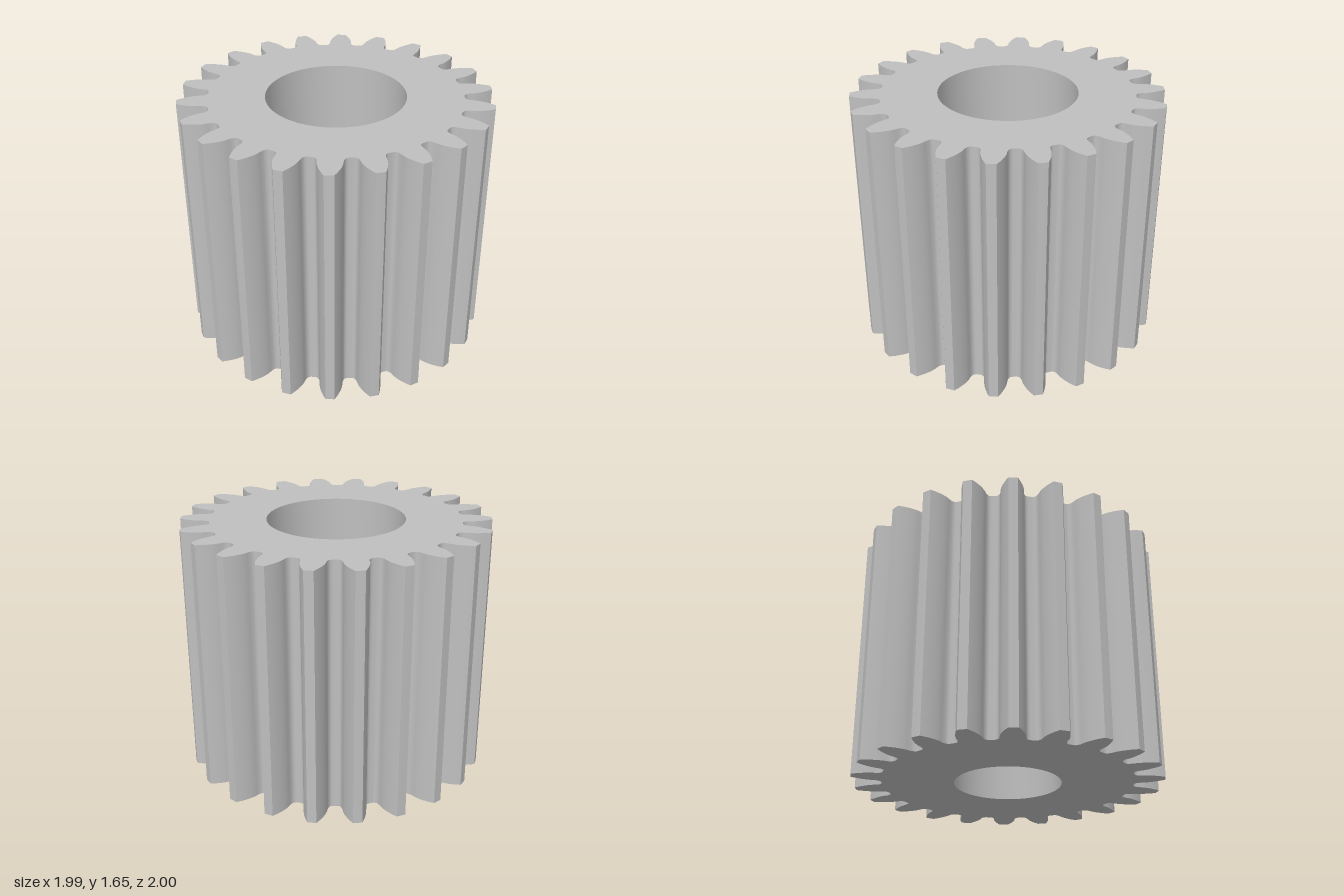
import * as THREE from 'three';
import { toCreasedNormals } from 'three/addons/utils/BufferGeometryUtils.js';

const TEETH = 22, HEIGHT = 1.655;
const TIP = 1, BASE = 0.861, ROOT = 0.81;
const TOP_BORE = 0.4475, SHAFT_BORE = 0.185, BOTTOM_BORE = 0.345;
const WEB_TOP = 1.1, WEB_BOTTOM = 0.55;

// Half of one tooth as [angle from tooth centre, radius], from gap centre to tip
function halfTooth() {
  const inv = a => Math.tan(a) - a;
  const pitchHalf = Math.PI / (2 * TEETH) + inv(Math.PI / 9);
  const points = [];
  // rounded root fillet
  const fillet = new THREE.CubicBezierCurve(
    new THREE.Vector2(Math.PI / TEETH - 0.012, ROOT),
    new THREE.Vector2(pitchHalf + 0.018, ROOT),
    new THREE.Vector2(pitchHalf + 0.004, ROOT + 0.014),
    new THREE.Vector2(pitchHalf, BASE));
  for (const p of fillet.getPoints(10)) points.push([p.x, p.y]);
  // involute flank
  for (let i = 1; i <= 8; i++) {
    const r = BASE + (TIP - BASE) * i / 8;
    points.push([pitchHalf - inv(Math.acos(BASE / r)), r]);
  }
  return points;
}

// Closed counter-clockwise outline, with one tooth centred on +y
function gearOutline() {
  const half = halfTooth();
  const tooth = [
    ...half.map(([a, r]) => [-a, r]),
    [0, TIP],
    ...half.slice().reverse(),
  ];
  const outline = [];
  for (let i = 0; i < TEETH; i++) {
    const centre = Math.PI / 2 + i * 2 * Math.PI / TEETH;
    for (const [a, r] of tooth) {
      outline.push(new THREE.Vector2(r * Math.cos(centre + a), r * Math.sin(centre + a)));
    }
  }
  return outline;
}

// Vertical wall following the outline
function wallGeometry(outline) {
  const pos = [];
  outline.forEach((a, i) => {
    const b = outline[(i + 1) % outline.length];
    pos.push(a.x, 0, -a.y, b.x, 0, -b.y, b.x, HEIGHT, -b.y);
    pos.push(a.x, 0, -a.y, b.x, HEIGHT, -b.y, a.x, HEIGHT, -a.y);
  });
  const geometry = new THREE.BufferGeometry();
  geometry.setAttribute('position', new THREE.Float32BufferAttribute(pos, 3));
  return toCreasedNormals(geometry, Math.PI / 6);
}

// Flat end face with a round opening
function faceGeometry(outline, bore) {
  const shape = new THREE.Shape(outline);
  shape.holes.push(new THREE.Path().absarc(0, 0, bore, 0, Math.PI * 2, true));
  return new THREE.ShapeGeometry(shape, 48);
}

export function createModel() {
  const group = new THREE.Group();
  group.name = 'spurGear';
  const steel = new THREE.MeshStandardMaterial({ color: 0xbfbfbf });
  steel.name = 'steelGrey';
  const add = (name, geometry) => {
    const mesh = new THREE.Mesh(geometry, steel);
    mesh.name = name;
    group.add(mesh);
  };

  const outline = gearOutline();
  add('toothedWall', wallGeometry(outline));
  add('topFace', faceGeometry(outline, TOP_BORE).rotateX(-Math.PI / 2).translate(0, HEIGHT, 0));
  add('bottomFace', faceGeometry(outline, BOTTOM_BORE).rotateX(Math.PI / 2));

  // Stepped bore: wide recess above, shaft hole through the web, smaller recess below
  const profile = [
    [TOP_BORE, HEIGHT], [TOP_BORE, WEB_TOP],
    [SHAFT_BORE, WEB_TOP], [SHAFT_BORE, WEB_BOTTOM],
    [BOTTOM_BORE, WEB_BOTTOM], [BOTTOM_BORE, 0],
  ].map(([r, y]) => new THREE.Vector2(r, y));
  add('steppedBore', toCreasedNormals(new THREE.LatheGeometry(profile, 96), Math.PI / 6));

  return group;
}
